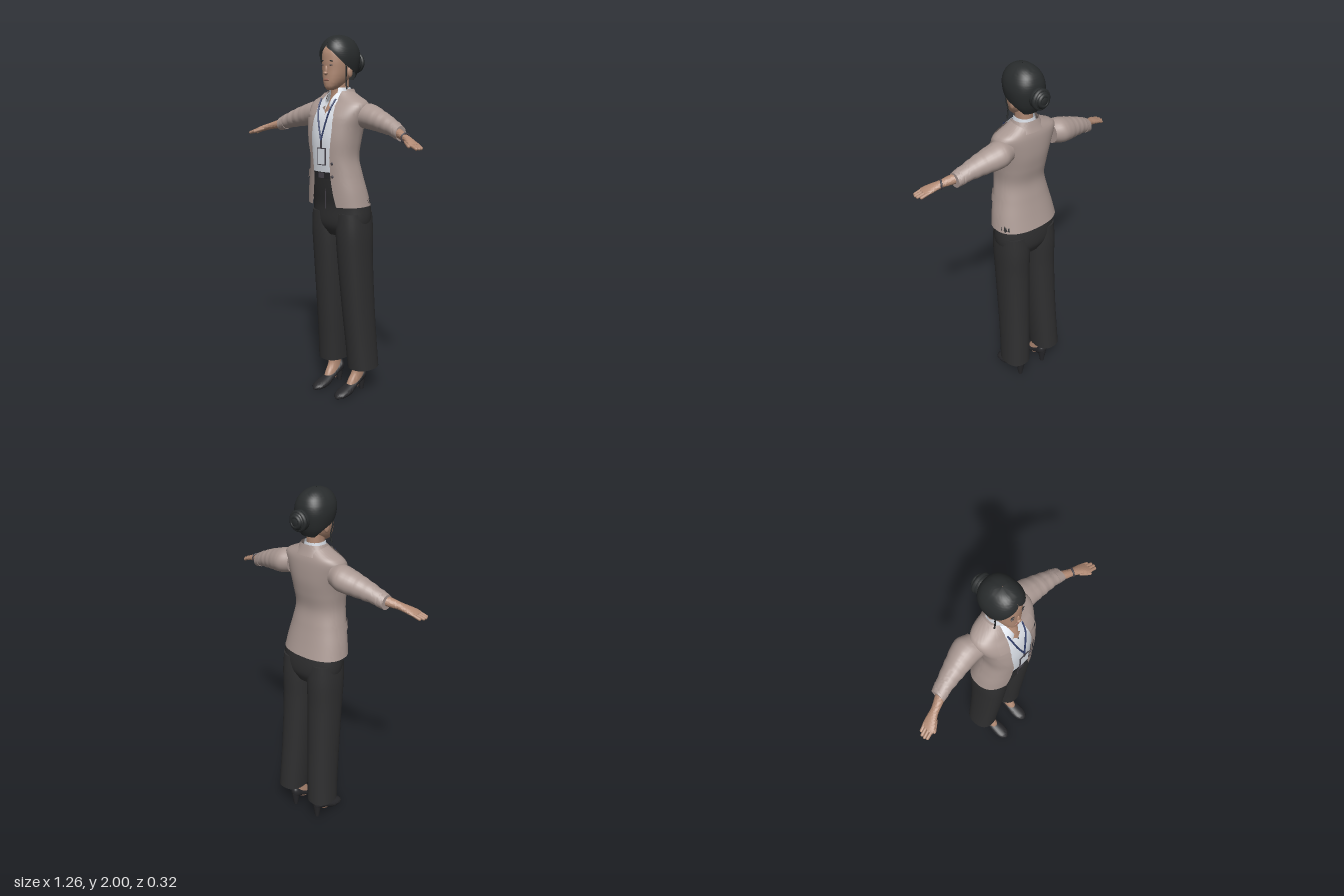
import * as THREE from 'three';
import { mergeVertices, toCreasedNormals } from 'three/addons/utils/BufferGeometryUtils.js';

const mat = (name, color, side = THREE.FrontSide) => Object.assign(new THREE.MeshStandardMaterial({ color, side }), { name });
const P = 0.85; // squareness of the body cross-sections
const V = (x, y, z) => new THREE.Vector3(x, y, z);

// Smooth lookup in a table of rows [key, ...values]
const spline = T => k => {
  let i = 0;
  while (i < T.length - 2 && k > T[i + 1][0]) i++;
  const h = T[i + 1][0] - T[i][0], s = (k - T[i][0]) / h;
  const slope = (j, c) => {
    const a = T[Math.max(0, j - 1)], b = T[Math.min(T.length - 1, j + 1)];
    return (b[c] - a[c]) / (b[0] - a[0]) * h;
  };
  return T[i].map((p, c) => {
    const q = T[i + 1][c], m = slope(i, c), n = slope(i + 1, c);
    return p + m * s + (3 * (q - p) - 2 * m - n) * s * s + (2 * (p - q) + m + n) * s ** 3;
  });
};

// Skin a grid of points; caps close both ends
function grid(cols, rows, fn, caps = false, flip = false) {
  const rings = [];
  for (let r = 0; r <= rows; r++) rings.push(Array.from({ length: cols + 1 }, (_, c) => fn(c / cols, r / rows)));
  if (caps) {
    const centre = ring => {
      const m = V(0, 0, 0);
      ring.slice(0, cols).forEach(p => m.addScaledVector(p, 1 / cols));
      return ring.map(() => m);
    };
    rings.unshift(centre(rings[0]));
    rings.push(centre(rings[rings.length - 1]));
  }
  const index = [], n = cols + 1;
  for (let r = 0; r < rings.length - 1; r++) for (let c = 0; c < cols; c++) {
    const a = r * n + c, b = a + 1, d = a + n, e = d + 1;
    index.push(...(flip ? [a, d, b, b, d, e] : [a, b, d, b, e, d]));
  }
  const g = new THREE.BufferGeometry().setFromPoints(rings.flat());
  g.setIndex(index);
  return toCreasedNormals(mergeVertices(g, 1e-5), 1);
}

// Upright sections are [y, halfWidth, zBack, zFront, centreX]; angle 0 faces front
const onBody = (s, a, off = 0) => {
  const pw = v => Math.sign(v) * Math.abs(v) ** P;
  return V((s[4] || 0) + (s[1] + off) * pw(Math.sin(a)), s[0],
    (s[2] + s[3]) / 2 + ((s[3] - s[2]) / 2 + off) * pw(Math.cos(a)));
};
const angleAt = (s, x) => Math.asin(Math.min(0.97, Math.max(0, x) / s[1]) ** (1 / P));
const zAt = (s, x) => onBody(s, angleAt(s, Math.abs(x))).z;
const sweep = (at, y0, y1, from, to, off = 0, cols = 32, rows = 28) => grid(cols, rows, (u, v) => {
  const s = at(y0 + (y1 - y0) * v), a = from(s), b = to(s);
  return onBody(s, a + (b - a) * u, off);
});
const upright = (at, y0, y1, rows = 20) => grid(32, rows, (u, v) => onBody(at(y0 + (y1 - y0) * v), u * Math.PI * 2), true);

export function createModel() {
  const D = THREE.DoubleSide;
  const M = {
    jacket: mat('taupe jacket', 0xaa9993, D), skin: mat('skin', 0xb18a74), shirt: mat('white shirt', 0xdde2ea, D),
    trousers: mat('charcoal trousers', 0x2f2f30), hair: mat('black hair', 0x292c2d, D), shoe: mat('black leather', 0x27272a),
    blue: mat('navy lanyard', 0x35426e), lips: mat('lips', 0x9c6a5c), line: mat('dark trim', 0x47434a)
  };
  const root = new THREE.Group(), body = new THREE.Group(), legs = new THREE.Group(), arms = new THREE.Group();
  body.name = 'upperBody'; legs.name = 'legs'; arms.name = 'arms';
  body.position.x = 0.013; legs.position.x = 0.022;
  root.add(body, legs, arms);
  const add = (parent, name, geo, m) => {
    const mesh = new THREE.Mesh(geo, m);
    mesh.name = name;
    parent.add(mesh);
    return mesh;
  };
  const ball = (parent, name, m, p, s) => {
    const b = add(parent, name, new THREE.SphereGeometry(1, 20, 14), m);
    b.position.set(...p); b.scale.set(...s);
    return b;
  };
  const box = (parent, name, m, p, s) => add(parent, name, new THREE.BoxGeometry(...s), m).position.set(...p);
  const tube = (parent, name, m, pts, r) =>
    add(parent, name, new THREE.TubeGeometry(new THREE.CatmullRomCurve3(pts), 20, r, 6), m);
  const capsule = (parent, name, m, a, b, r) => {
    const c = add(parent, name, new THREE.CapsuleGeometry(r, a.distanceTo(b), 4, 10), m);
    c.position.copy(a).lerp(b, 0.5);
    c.quaternion.setFromUnitVectors(V(0, 1, 0), b.clone().sub(a).normalize());
  };

  // Jacket: open-fronted shell; the last value is half the front opening
  const jacket = spline([[1.1, .19, -.12, .135, 0, .088], [1.18, .176, -.1, .14, 0, .07], [1.27, .155, -.08, .146, 0, .06],
    [1.36, .139, -.066, .154, 0, .062], [1.45, .146, -.08, .156, 0, .07], [1.52, .157, -.09, .147, 0, .073],
    [1.58, .174, -.092, .13, 0, .068], [1.63, .184, -.09, .1, 0, .058], [1.655, .172, -.086, .078, 0, .052],
    [1.685, .11, -.076, .062, 0, .05], [1.71, .07, -.062, .05, 0, .048]]);
  const edge = s => angleAt(s, s[5]);
  add(body, 'jacket', sweep(jacket, 1.1, 1.71, edge, s => 2 * Math.PI - edge(s), 0, 64, 48), M.jacket);
  const lapelOut = spline([[1.36, .066], [1.45, .1], [1.57, .136]]);
  const collarOut = spline([[1.585, .118], [1.64, .11], [1.7, .072]]);
  for (const m of [1, -1]) {
    const strip = (name, y0, y1, inner, outer, off) => add(body, name, m > 0
      ? sweep(jacket, y0, y1, inner, outer, off, 10, 14)
      : sweep(jacket, y0, y1, s => -outer(s), s => -inner(s), off, 10, 14), M.jacket);
    strip('lapel', 1.365, 1.57, edge, s => angleAt(s, lapelOut(s[0])[1]), .008);
    strip('collarFront', 1.583, 1.7, edge, s => angleAt(s, collarOut(s[0])[1]), .008);
    strip('pocketFlap', 1.24, 1.283, () => .72, () => 1.45, .006);
  }
  const neckband = spline([[1.665, .1, -.084, .06], [1.69, .08, -.074, .05], [1.72, .064, -.064, .045]]);
  add(body, 'jacketCollar', sweep(neckband, 1.665, 1.72, () => 1.1, () => 2 * Math.PI - 1.1, .004), M.jacket);
  for (const y of [1.335, 1.265]) ball(body, 'button', M.line, [.074, y, zAt(jacket(y), .074) + .002], [.008, .008, .004]);

  // Shirt, open at the throat, with collar points
  const shirt = y => {
    const s = jacket(y);
    return [y, s[1] * .94, s[2] + .008, s[3] - .006];
  };
  const throat = s => Math.max(0, s[0] - 1.6) * 7;
  add(body, 'shirt', sweep(shirt, 1.26, 1.66, throat, s => 2 * Math.PI - throat(s), 0, 40), M.shirt);
  const stand = spline([[1.65, .07, -.055, .078], [1.69, .058, -.058, .062], [1.728, .05, -.054, .05]]);
  add(body, 'shirtCollar', sweep(stand, 1.65, 1.728, () => .5, () => 2 * Math.PI - .5), M.shirt);
  for (const m of [1, -1]) {
    const top = [V(m * .028, 1.7, .058), V(m * .056, 1.7, .03)], low = [V(m * .012, 1.635, .1), V(m * .058, 1.605, .124)];
    add(body, 'collarPoint', grid(1, 4, (u, v) => {
      const p = low[0].clone().lerp(low[1], u).lerp(top[0].clone().lerp(top[1], u), v);
      p.z += .012 * Math.sin(v * Math.PI);
      return p;
    }), M.shirt);
    tube(body, 'lanyardStrap', M.blue, [V(m * .052, 1.67, .09), V(m * .043, 1.62, .122),
      V(m * .026, 1.55, zAt(shirt(1.55), .03) + .007), V(.006, 1.455, .156)], .0045);
  }
  box(body, 'lanyardClip', M.line, [.007, 1.435, .156], [.01, .045, .006]);
  box(body, 'badgeFrame', M.line, [.009, 1.37, .154], [.062, .092, .006]);
  box(body, 'badgeCard', M.shirt, [.009, 1.37, .157], [.053, .082, .004]);

  // Neck and throat
  add(body, 'neck', upright(spline([[1.57, .06, -.03, .108], [1.61, .055, -.04, .092], [1.66, .044, -.045, .062],
    [1.72, .042, -.045, .05], [1.79, .044, -.045, .055]]), 1.57, 1.79), M.skin);

  // Head and face
  const face = spline([[1.716, .014, .055, .094], [1.725, .028, .025, .102], [1.745, .044, -.01, .107], [1.78, .06, -.045, .108],
    [1.82, .069, -.065, .107], [1.87, .073, -.075, .108], [1.92, .07, -.075, .1], [1.96, .045, -.05, .07]]);
  add(body, 'head', upright(face, 1.716, 1.96, 30), M.skin);
  ball(body, 'nose', M.skin, [0, 1.816, .108], [.01, .026, .008]);
  ball(body, 'noseTip', M.skin, [0, 1.803, .112], [.012, .009, .012]);
  ball(body, 'lips', M.lips, [0, 1.768, .107], [.02, .007, .005]);
  for (const m of [1, -1]) {
    ball(body, 'eye', M.line, [m * .03, 1.844, zAt(face(1.844), .03)], [.012, .0035, .003]);
    ball(body, 'brow', M.hair, [m * .031, 1.866, zAt(face(1.866), .031)], [.016, .003, .003]).rotation.z = -m * .1;
    ball(body, 'ear', M.skin, [m * .074, 1.81, .004], [.01, .03, .018]);
    tube(body, 'looseStrand', M.hair, [V(m * .082, 1.86, .045), V(m * .08, 1.81, .04), V(m * .074, 1.77, .035), V(m * .08, 1.72, .035)], .004);
  }

  // Hair swept back into a bun; the last value is the half angle left open for the face
  const hair = spline([[1.765, .058, -.074, .045, 0, 2.25], [1.8, .08, -.09, .08, 0, 1.85], [1.84, .092, -.1, .098, 0, 1.2],
    [1.88, .097, -.105, .108, 0, .72], [1.912, .094, -.103, .113, 0, .42], [1.935, .087, -.096, .109, 0, .05],
    [1.96, .073, -.082, .097, 0, 0], [1.982, .052, -.056, .075, 0, 0], [1.995, .028, -.025, .045, 0, 0], [2, .002, .008, .012, 0, 0]]);
  const part = s => Math.max(0, s[5]);
  add(body, 'hair', sweep(hair, 1.765, 2, part, s => 2 * Math.PI - part(s), 0, 48, 44), M.hair);
  ball(body, 'bun', M.hair, [0, 1.856, -.11], [.05, .054, .048]);
  [.044, .026].forEach((r, i) => {
    add(body, 'bunCoil', new THREE.TorusGeometry(r, .012, 8, 24), M.hair).position.set(0, 1.856, -.126 - i * .018);
  });

  // Trousers and belt
  const hips = spline([[.93, .12, -.09, .07], [.99, .172, -.116, .1], [1.1, .178, -.113, .106], [1.18, .163, -.092, .122], [1.265, .142, -.068, .136]]);
  add(legs, 'trouserTop', upright(hips, .93, 1.265), M.trousers);
  add(body, 'belt', sweep(shirt, 1.25, 1.286, () => 0, () => 2 * Math.PI, .004), M.shoe);
  box(body, 'buckle', M.line, [0, 1.268, .147], [.036, .028, .006]);
  box(legs, 'flySeam', M.line, [-.003, 1.16, .1225], [.003, .15, .004]);
  const leg = spline([[.155, .078, -.15, .03, .115], [.3, .078, -.142, .042, .108], [.5, .08, -.13, .062, .1],
    [.8, .085, -.117, .09, .092], [.95, .088, -.118, .101, .09], [1.06, .085, -.11, .1, .088]]);
  const foot = spline([[.04, .027, -.04, .05, .088], [.08, .028, -.075, .03, .09], [.13, .027, -.085, 0, .094], [.25, .032, -.1, 0, .105]]);
  // Shoe sections along z: [z, halfWidth, bottom, top]
  const shoe = spline([[-.1, .014, .078, .12], [-.085, .029, .062, .133], [-.045, .032, .05, .105], [0, .034, .028, .078],
    [.045, .04, .004, .06], [.09, .039, 0, .044], [.12, .028, .001, .031], [.136, .008, .004, .016]]);
  for (const m of [1, -1]) {
    const side = at => y => {
      const s = at(y);
      return [s[0], s[1], s[2], s[3], m * s[4]];
    };
    add(legs, 'trouserLeg', upright(side(leg), .155, 1.06, 28), M.trousers);
    add(legs, 'ankle', upright(side(foot), .04, .25), M.skin);
    add(legs, 'shoe', grid(24, 30, (u, v) => {
      const [z, w, lo, hi] = shoe(-.1 + .236 * v), a = u * 2 * Math.PI;
      return V(m * .088 + w * Math.cos(a), (lo + hi) / 2 + (hi - lo) / 2 * Math.sin(a), z);
    }, true), M.shoe);
    const heel = add(legs, 'heel', new THREE.CylinderGeometry(.026, .012, .085, 16), M.shoe);
    heel.position.set(m * .088, .0425, -.076);
  }

  // Arms along x: [x, centreY, halfHeight, centreZ, halfDepth]
  const sleeve = spline([[.14, 1.583, .06, -.015, .066], [.2, 1.58, .067, -.028, .074], [.3, 1.557, .056, -.014, .06],
    [.38, 1.534, .045, 0, .047], [.44, 1.51, .036, .012, .038]]);
  const forearm = spline([[.4, 1.52, .026, .008, .03], [.45, 1.508, .024, .028, .027], [.5, 1.494, .019, .048, .023],
    [.535, 1.483, .017, .062, .03], [.565, 1.472, .014, .074, .036], [.59, 1.463, .009, .08, .034]]);
  for (const m of [1, -1]) {
    const limb = (name, at, x0, x1, mt, fold) => add(arms, name, grid(28, 40, (u, v) => {
      const [x, y, ry, z, rz] = at(x0 + (x1 - x0) * v), a = u * 2 * Math.PI;
      const k = 1 + fold * Math.sin(x * 130 + 1.5 * Math.sin(a)) * Math.min(1, Math.max(0, (x - .2) * 8));
      return V(m * x, y - ry * k * Math.sin(a), z + rz * k * Math.cos(a));
    }, true, m < 0), mt);
    limb('sleeve', sleeve, .14, .44, M.jacket, .025);
    limb('cuff', x => sleeve(x).map((q, i) => i === 2 || i === 4 ? q + .003 : q), .405, .443, M.jacket, 0);
    limb('forearm', forearm, .4, .59, M.skin, 0);
    [[.615, .108], [.621, .094], [.62, .077], [.608, .06]].forEach(([x, z], i) => capsule(arms, 'finger', M.skin,
      V(m * .57, 1.47, .1 - i * .017), V(m * x, 1.453, z), .0085));
    capsule(arms, 'thumb', M.skin, V(m * .53, 1.478, .083), V(m * .572, 1.462, .112), .009);
  }
  const strap = add(arms, 'watchStrap', new THREE.TorusGeometry(.022, .005, 8, 24), M.line);
  strap.position.set(.5, 1.494, .048);
  strap.rotation.y = Math.PI / 2 - .45;
  return root;
}
